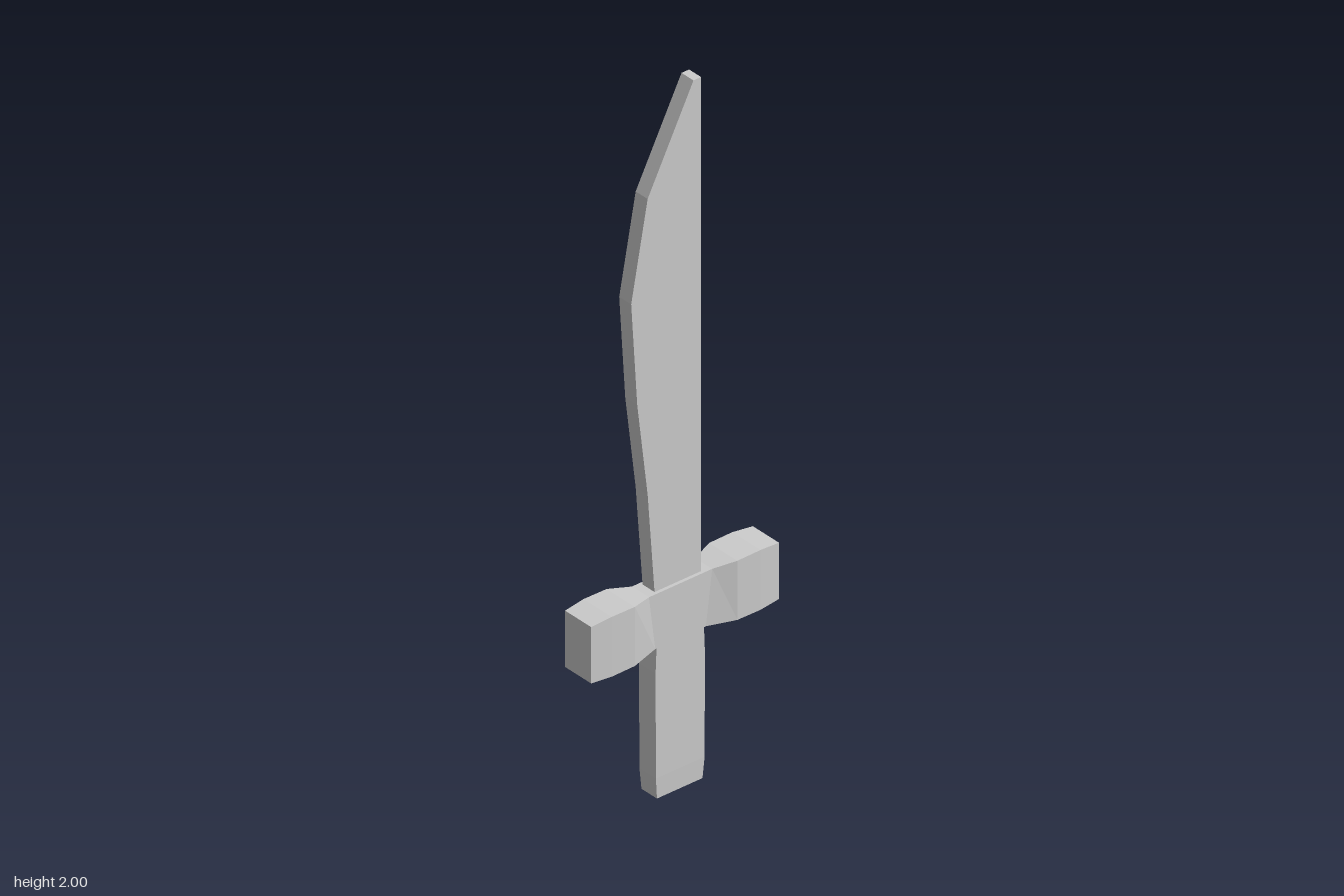
import * as THREE from 'three';

const material = new THREE.MeshStandardMaterial({ color: 0xcccccc, flatShading: true });

// Skins a series of four-cornered rings and closes both ends.
// Corners run counter-clockwise as seen looking back along the loft direction.
function loft(rings) {
  const pos = [];
  const quad = (a, b, c, d) => [a, b, c, a, c, d].forEach((p) => pos.push(...p));
  for (let i = 0; i < rings.length - 1; i++) {
    for (let j = 0; j < 4; j++) {
      const k = (j + 1) % 4;
      quad(rings[i][j], rings[i][k], rings[i + 1][k], rings[i + 1][j]);
    }
  }
  quad(...[...rings[0]].reverse());
  quad(...rings[rings.length - 1]);
  const geometry = new THREE.BufferGeometry();
  geometry.setAttribute('position', new THREE.Float32BufferAttribute(pos, 3));
  geometry.computeVertexNormals();
  return geometry;
}

// Flat single-edged blade: profile as [z, y], thickness along x
function bladeGeometry() {
  const profile = [
    [-0.073, 0.585], [0.074, 0.585], [0.096, 0.875], [0.129, 1.145],
    [0.148, 1.44], [0.096, 1.72], [-0.049, 2], [-0.073, 2],
  ];
  const thickness = 0.045;
  const shape = new THREE.Shape(profile.map(([z, y]) => new THREE.Vector2(z, y)));
  return new THREE.ExtrudeGeometry(shape, { depth: thickness, bevelEnabled: false })
    .translate(0, 0, -thickness / 2)
    .rotateY(-Math.PI / 2);
}

// Crossguard: pinched at the middle, swelling into blocky arms along z
function guardGeometry() {
  // [z at top, z at bottom, top y, bottom y, half width]
  const arm = [
    [0.1, 0.08, 0.588, 0.432, 0.032],
    [0.162, 0.162, 0.596, 0.427, 0.053],
    [0.235, 0.235, 0.597, 0.426, 0.053],
    [0.297, 0.297, 0.591, 0.43, 0.049],
  ];
  const mirrored = arm.map(([zt, zb, ...rest]) => [-zt, -zb, ...rest]).reverse();
  return loft([...mirrored, ...arm].map(([zt, zb, top, bottom, w]) => [
    [w, bottom, zb], [w, top, zt], [-w, top, zt], [-w, bottom, zb],
  ]));
}

// Grip: slightly swollen bar, [y, half width x, half depth z]
function gripGeometry() {
  const sections = [
    [0, 0.029, 0.072],
    [0.06, 0.031, 0.077],
    [0.36, 0.031, 0.078],
    [0.434, 0.031, 0.075],
  ];
  return loft(sections.map(([y, w, d]) => [
    [-w, y, -d], [-w, y, d], [w, y, d], [w, y, -d],
  ]));
}

export function createModel() {
  const group = new THREE.Group();
  group.name = 'sword';
  const parts = { blade: bladeGeometry(), crossguard: guardGeometry(), grip: gripGeometry() };
  for (const [name, geometry] of Object.entries(parts)) {
    const mesh = new THREE.Mesh(geometry, material);
    mesh.name = name;
    group.add(mesh);
  }
  return group;
}
